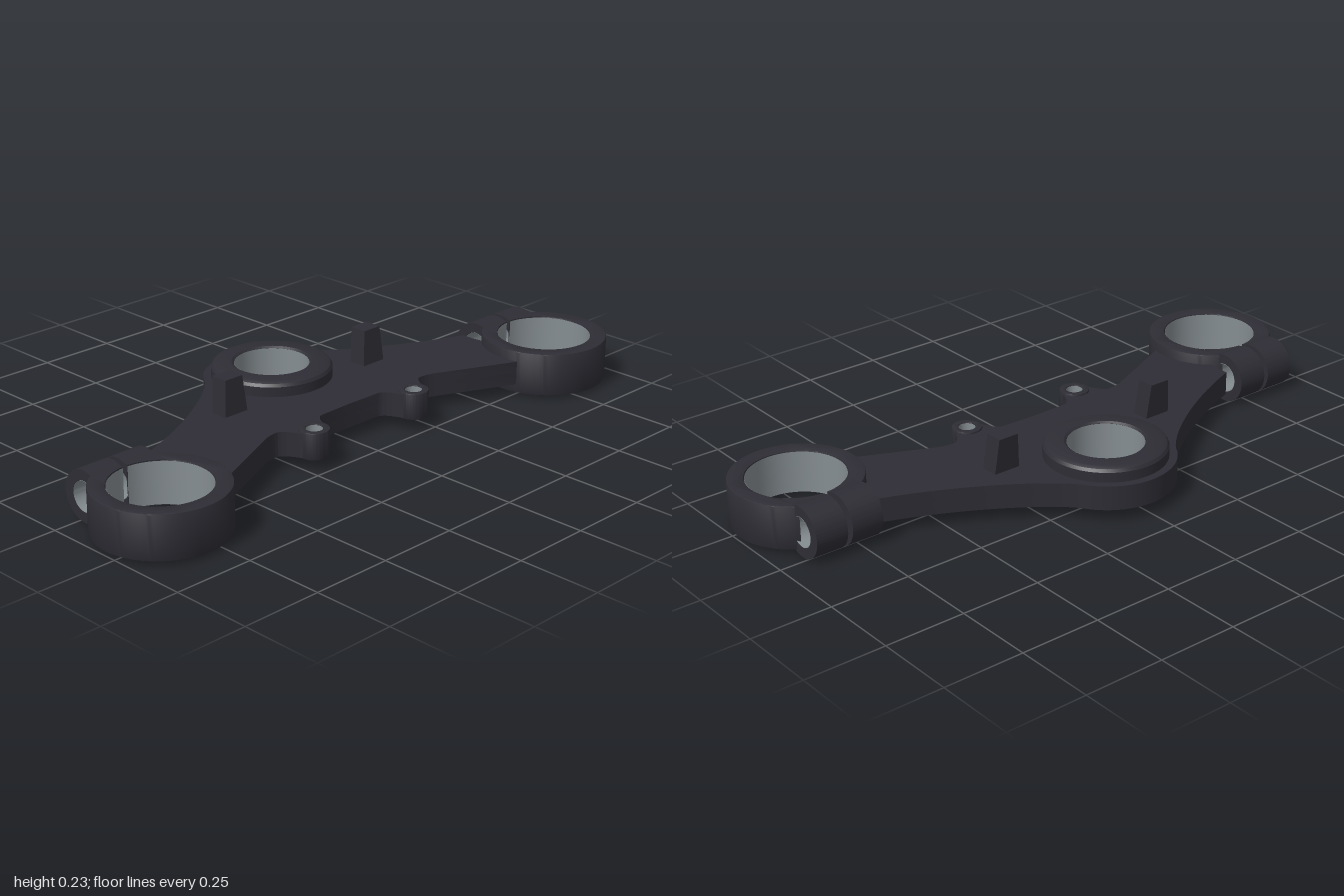
import * as THREE from 'three';
import { toCreasedNormals } from 'three/addons/utils/BufferGeometryUtils.js';

const metal = new THREE.MeshStandardMaterial({ color: 0x2e2d35 });
metal.name = 'dark metal';
const bare = new THREE.MeshStandardMaterial({ color: 0x858d91, side: THREE.DoubleSide });
bare.name = 'bare machined bore';

function add(parent, name, geometry, material = metal) {
  const mesh = new THREE.Mesh(geometry, material);
  mesh.name = name;
  parent.add(mesh);
  return mesh;
}

// Extrude a shape drawn in (x, z) between two heights
function slab(shape, y0, y1, bevel = 0) {
  const g = new THREE.ExtrudeGeometry(shape, {
    depth: y1 - y0 - 2 * bevel, curveSegments: 48, bevelEnabled: bevel > 0,
    bevelSize: bevel, bevelThickness: bevel, bevelOffset: -bevel, bevelSegments: 2,
  });
  g.rotateX(Math.PI / 2).translate(0, y1 - bevel, 0);
  return toCreasedNormals(g, 0.6);
}

function circleHole(x, z, r) {
  return new THREE.Path().absarc(x, z, r, 0, Math.PI * 2, true);
}

// Thin open sleeve lining a vertical bore
function sleeve(r, y0, y1, gap = 0) {
  return new THREE.CylinderGeometry(r, r, y1 - y0, 64, 1, true, Math.PI + gap, Math.PI * 2 - 2 * gap)
    .translate(0, (y0 + y1) / 2, 0);
}

// Symmetric plate outline with bore and lug holes
function plateShape() {
  const half = new THREE.Path();
  half.absarc(0, -0.2, 0.21, -Math.PI / 2, -0.61, false);
  half.bezierCurveTo(0.21, -0.25, 0.42, -0.1, 0.67, -0.01);
  half.lineTo(0.67, 0.04);
  half.lineTo(0.68, 0.09);
  half.quadraticCurveTo(0.61, 0.17, 0.64, 0.263);
  half.lineTo(0.61, 0.262);
  half.lineTo(0.36, 0.148);
  half.quadraticCurveTo(0.33, 0.135, 0.3, 0.136);
  half.quadraticCurveTo(0.275, 0.145, 0.252, 0.205);
  half.absarc(0.21, 0.195, 0.045, 0.23, Math.PI - 0.23, false);
  half.quadraticCurveTo(0.148, 0.14, 0.12, 0.135);
  half.lineTo(0, 0.132);
  const pts = half.getPoints(16);
  const mirrored = pts.slice(1, -1).reverse().map((p) => new THREE.Vector2(-p.x, p.y));
  const shape = new THREE.Shape([...pts, ...mirrored]);
  shape.holes.push(circleHole(0, -0.2, 0.116));
  for (const s of [1, -1]) shape.holes.push(circleHole(s * 0.21, 0.195, 0.026));
  return shape;
}

// Weight-saving pocket under one arm
function pocket(s) {
  const p = [[0.26, -0.15], [0.35, -0.11], [0.46, -0.045], [0.57, 0.01],
    [0.59, 0.08], [0.575, 0.19], [0.46, 0.14], [0.36, 0.095], [0.24, 0.07], [0.22, -0.05]];
  return new THREE.Path(p.map(([x, z]) => new THREE.Vector2(s * x, z)));
}

// Split ring with a pinch-bolt lug on each side of the slit
function clamp() {
  const group = new THREE.Group();
  const R = 0.197, r = 0.147, slit = 0.008, reach = 0.11, yc = 0.0785, boltZ = -0.19;

  const a = Math.asin(0.1 / R), b = Math.asin(0.1 / r);
  const arc = new THREE.Shape();
  arc.absarc(0, 0, R, -Math.PI / 2 + a, 1.5 * Math.PI - a, false);
  arc.absarc(0, 0, r, 1.5 * Math.PI - b, -Math.PI / 2 + b, true);
  arc.closePath();
  add(group, 'clampRing', slab(arc, 0.011, 0.148, 0.004));
  add(group, 'clampBore', sleeve(r - 0.001, 0.014, 0.145, 0.056), bare);

  // Keep lug vertices out of the ring bore
  const trim = (g) => {
    const p = g.attributes.position;
    for (let i = 0; i < p.count; i++) {
      const limit = -Math.sqrt(r * r - p.getX(i) ** 2);
      if (p.getZ(i) > limit) p.setZ(i, limit);
    }
    g.computeVertexNormals();
    return toCreasedNormals(g, 0.6);
  };

  // Lug section: round at the back, running into the ring wall
  const section = new THREE.Shape();
  const t = Math.PI - 1.09;
  section.absarc(-boltZ, yc, 0.0785, -t, t, false);
  section.lineTo(0.07, 0.148);
  section.lineTo(0.07, 0.011);
  section.closePath();
  section.holes.push(circleHole(-boltZ, yc, 0.047));
  for (const start of [slit, -reach]) {
    const lug = new THREE.ExtrudeGeometry(section, {
      depth: reach - slit, steps: 12, curveSegments: 32, bevelEnabled: false,
    });
    lug.rotateY(Math.PI / 2).translate(start, 0, 0);
    add(group, 'pinchLug', trim(lug));
    const lining = new THREE.CylinderGeometry(0.046, 0.046, reach - slit, 40, 8, true);
    lining.rotateZ(Math.PI / 2).translate(start + (reach - slit) / 2, yc, boltZ);
    add(group, 'pinchBoltBore', trim(lining), bare);
  }
  return group;
}

// Tapered stop leaning slightly backwards
function stopPost() {
  const g = new THREE.BoxGeometry(0.09, 0.125, 0.056);
  const p = g.attributes.position;
  for (let i = 0; i < p.count; i++) {
    if (p.getY(i) > 0) p.setXYZ(i, p.getX(i) * 0.74, p.getY(i), p.getZ(i) - 0.01);
  }
  g.computeVertexNormals();
  return g;
}

export function createModel() {
  const model = new THREE.Group();
  model.name = 'forkClamp';

  // Plate: closed top skin over a pocketed underside
  add(model, 'plateTop', slab(plateShape(), 0.08, 0.115));
  const lower = plateShape();
  lower.holes.push(pocket(1), pocket(-1));
  add(model, 'plateRim', slab(lower, 0.039, 0.08));

  // Steering stem boss
  const profile = [[0.116, 0.1], [0.186, 0.1], [0.186, 0.146], [0.18, 0.155], [0.168, 0.161],
    [0.123, 0.161], [0.116, 0.156], [0.116, 0.1]].map(([x, y]) => new THREE.Vector2(x, y));
  const boss = add(model, 'stemBoss', toCreasedNormals(new THREE.LatheGeometry(profile, 64), 0.5));
  boss.position.z = -0.2;
  const bore = add(model, 'stemBore', sleeve(0.115, 0.04, 0.156), bare);
  bore.position.z = -0.2;

  for (const s of [1, -1]) {
    const ring = clamp();
    ring.name = s > 0 ? 'leftClamp' : 'rightClamp';
    ring.position.set(s * 0.803, 0, 0.212);
    model.add(ring);

    const post = add(model, 'stopPost', stopPost());
    post.position.set(s * 0.29, 0.163, -0.073);

    // Mounting lug on the front edge
    const eye = new THREE.Shape().absarc(0, 0, 0.046, 0, Math.PI * 2, false);
    eye.holes.push(circleHole(0, 0, 0.026));
    const lug = add(model, 'mountLug', slab(eye, 0.037, 0.121, 0.003));
    lug.position.set(s * 0.21, 0, 0.195);
    const lugBore = add(model, 'mountLugBore', sleeve(0.0255, 0.04, 0.118), bare);
    lugBore.position.copy(lug.position);
  }
  return model;
}
